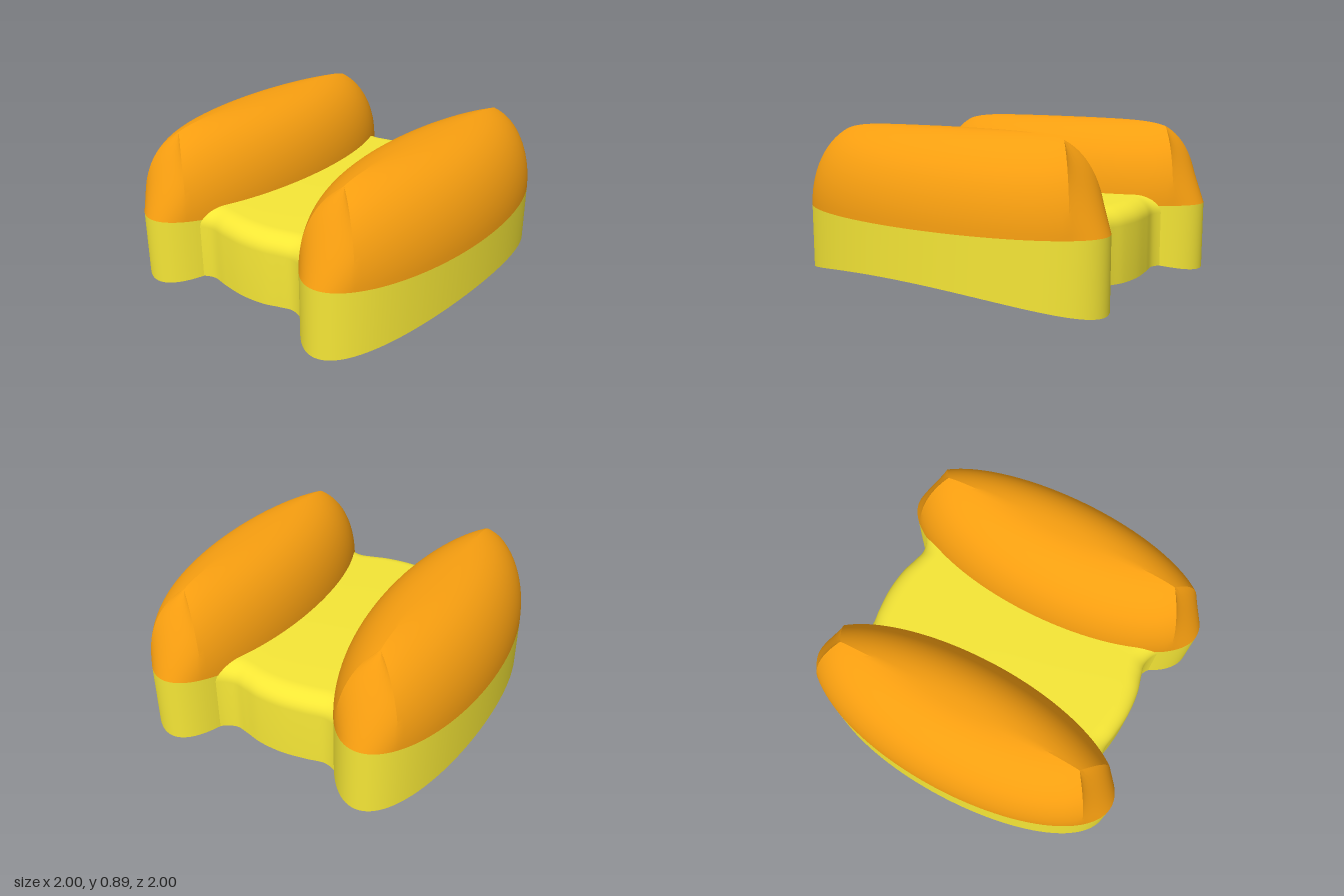
import * as THREE from 'three';
import { toCreasedNormals } from 'three/addons/utils/BufferGeometryUtils.js';

const yellow = new THREE.MeshStandardMaterial({ color: 0xf5e636 });
const orange = new THREE.MeshStandardMaterial({ color: 0xf89f10 });

const A = 1, B = 0.4;             // plan half-length and half-width of a pod
const SEAM = 0.4, RISE = 0.495;   // height of the colour seam, height of the dome above it
const FOCAL = A - (B * B) / A;    // reach of the ellipse normals along the ridge
const RIDGE = 0.75;               // where the dome ridge stops
const T0 = Math.asin(RIDGE / FOCAL);
const underside = z => 0.12 * (1 - z * z);

// Skin a grid of points: each row is a list of [x, y, z]
function skin(rows, name, material, crease) {
  const n = rows[0].length, index = [];
  for (let j = 0; j < rows.length - 1; j++) {
    for (let i = 0; i < n - 1; i++) {
      const a = j * n + i, b = a + 1, c = a + n, d = c + 1;
      index.push(a, c, b, b, c, d);
    }
  }
  const g = new THREE.BufferGeometry();
  g.setAttribute('position', new THREE.Float32BufferAttribute(rows.flat(2), 3));
  g.setIndex(index);
  const mesh = new THREE.Mesh(toCreasedNormals(g, crease), material);
  mesh.name = name;
  return mesh;
}

// Angles round the ellipse, with samples exactly on the end-facet borders
function ellipseAngles() {
  const stops = [-T0, T0, Math.PI - T0, Math.PI + T0, 2 * Math.PI - T0];
  const out = [stops[0]];
  for (let s = 0; s < 4; s++) {
    const n = s % 2 ? 24 : 40;
    for (let k = 1; k <= n; k++) out.push(THREE.MathUtils.lerp(stops[s], stops[s + 1], k / n));
  }
  return out;
}

// Rounded height at inset distance d from the rim
const domeHeight = d => SEAM + RISE * Math.sqrt(Math.max(0, 1 - Math.pow(Math.max(0, 1 - d / B), 2.3)));

// Dome point: sides run along the ellipse normals to the ridge, ends are flatter facets
function domePoint(t, u) {
  const x = B * Math.cos(t), z = A * Math.sin(t);
  const zEdge = Math.sin(T0);
  if (Math.abs(z) <= zEdge + 1e-6) {
    const zr = FOCAL * z;
    return [x * (1 - u), domeHeight(u * Math.hypot(x, z - zr)), z + (zr - z) * u];
  }
  const reach = Math.hypot(B * Math.cos(T0), zEdge - RIDGE);
  const y = domeHeight(u * reach);
  const q = (y - SEAM) / (domeHeight(reach) - SEAM);
  const zBorder = zEdge + (RIDGE - zEdge) * u;
  const zMiddle = A + (RIDGE - A) * q + 0.06 * q * (1 - q);
  const bulge = (Math.abs(z) - zEdge) / (A - zEdge);
  return [x * (1 - u), y, Math.sign(z) * (zBorder + (zMiddle - zBorder) * bulge)];
}

function pod(name) {
  const group = new THREE.Group();
  group.name = name;
  const ts = ellipseAngles();
  const rim = f => ts.map(t => f(B * Math.cos(t), A * Math.sin(t)));

  // Base: arched underside and upright wall
  group.add(skin([
    rim((x, z) => [0, underside(z), z]),
    rim((x, z) => [x, underside(z), z]),
    rim((x, z) => [x, SEAM, z]),
  ], 'podBase', yellow, 0.6));

  // Dome
  const rows = [];
  for (let j = 0; j <= 24; j++) {
    const u = 1 - Math.cos((j / 24) * Math.PI / 2);
    rows.push(ts.map(t => domePoint(t, u)));
  }
  group.add(skin(rows, 'podDome', orange, 0.4));
  return group;
}

// Middle deck: wavy ends, rounded upper edges, ends tucked into the pods
function deck() {
  const edge = new THREE.CatmullRomCurve3([
    [-0.42, 0.865], [-0.38, 0.835], [-0.31, 0.815], [-0.2, 0.832], [-0.05, 0.847],
    [0.1, 0.837], [0.2, 0.812], [0.28, 0.796], [0.35, 0.815], [0.42, 0.865],
  ].map(([x, z]) => new THREE.Vector3(x, 0, z)));
  const rows = edge.getPoints(60).map(({ x, z: e }) => {
    const front = [[x, underside(e), e]];
    for (let k = 0; k <= 10; k++) {
      const a = (k / 10) * Math.PI / 2;
      front.push([x, 0.36 + 0.103 * Math.sin(a), e - 0.12 * (1 - Math.cos(a))]);
    }
    const back = front.map(([px, y, z]) => [px, y, -z]).reverse();
    const bottom = [];
    for (let k = 1; k <= 24; k++) {
      const z = e * (k / 12 - 1);
      bottom.push([x, underside(z), z]);
    }
    return [...front, ...back, ...bottom];
  });
  return skin(rows, 'deck', yellow, 0.6);
}

export function createModel() {
  const model = new THREE.Group();
  model.name = 'twinPodBody';
  for (const [name, x] of [['leftPod', 0.6], ['rightPod', -0.6]]) {
    const p = pod(name);
    p.position.x = x;
    model.add(p);
  }
  model.add(deck());
  return model;
}
